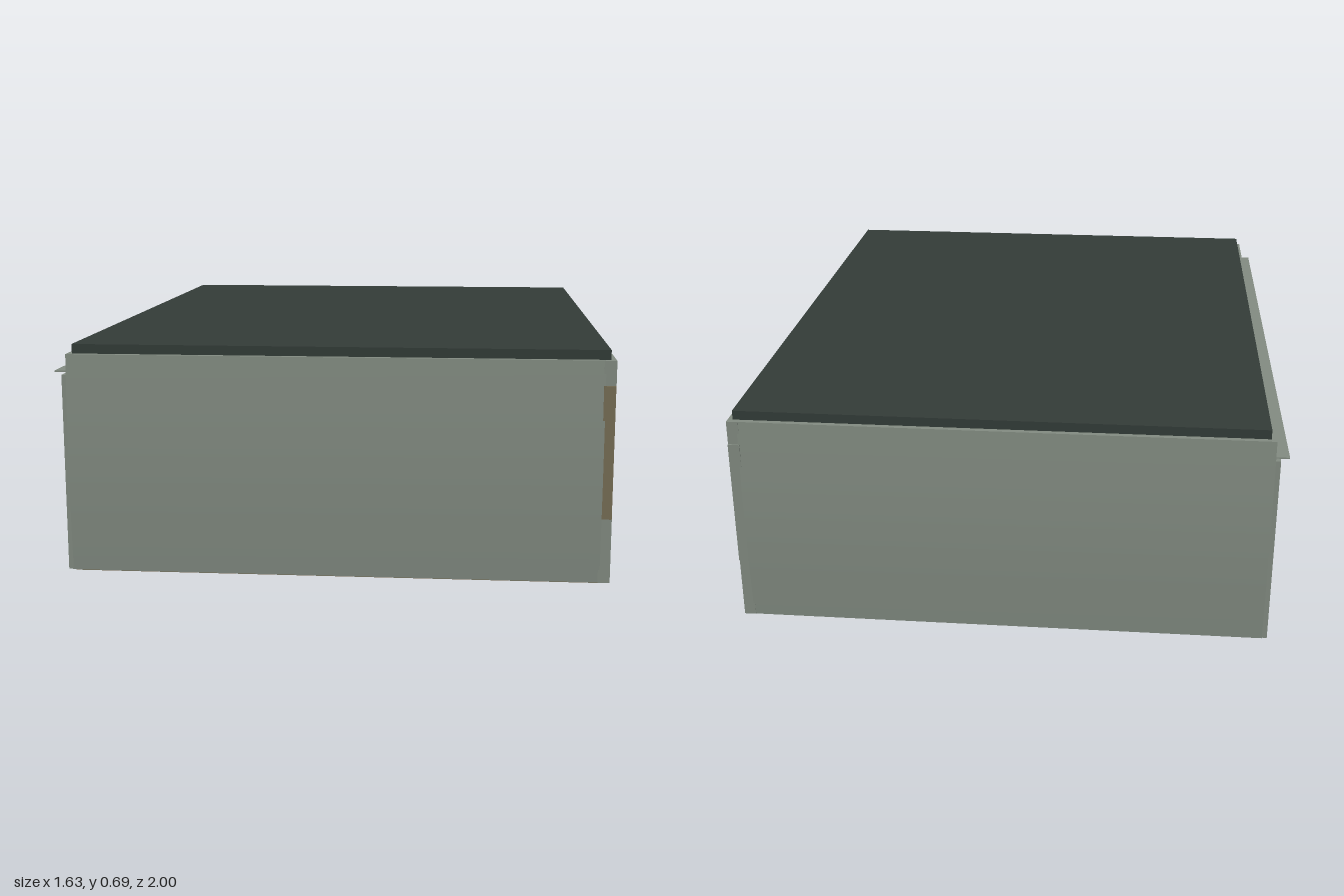
import * as THREE from 'three';

export function createModel() {
  const model = new THREE.Group();
  const mat = (name, color) => {
    const m = new THREE.MeshStandardMaterial({ color, side: THREE.DoubleSide });
    m.name = name;
    return m;
  };
  const wallGrey = mat('wall grey', 0x838c82);
  const roofDark = mat('roof dark green', 0x333c38);
  const tan = mat('panel tan', 0x776e55);
  const pale = mat('door pale grey', 0xc4c4c4);

  const add = (name, geometry, material) => {
    const mesh = new THREE.Mesh(geometry, material);
    mesh.name = name;
    model.add(mesh);
    return mesh;
  };
  // Box given by its minimum and maximum corners
  const box = (name, material, [x0, y0, z0], [x1, y1, z1]) => {
    const g = new THREE.BoxGeometry(x1 - x0, y1 - y0, z1 - z0);
    g.translate((x0 + x1) / 2, (y0 + y1) / 2, (z0 + z1) / 2);
    return add(name, g, material);
  };

  // Main hall: front and back walls bow out slightly at mid height
  const base = 0.008, top = 0.662;
  const hall = new THREE.BoxGeometry(1.565, top - base, 1.976, 1, 10, 1);
  hall.translate(0.0025, (base + top) / 2, 0);
  const p = hall.attributes.position;
  for (let i = 0; i < p.count; i++) {
    const t = (p.getY(i) - base) / (top - base);
    p.setZ(i, Math.sign(p.getZ(i)) * (0.988 + 0.011 * Math.sin(Math.PI * t)));
  }
  hall.computeVertexNormals();
  add('hallWalls', hall, wallGrey);

  // Left-hand end wall with a doorway, drawn in the z-y plane
  const outline = new THREE.Shape();
  outline.moveTo(-0.985, base).lineTo(0.985, base).lineTo(0.985, 0.6).lineTo(-0.985, 0.6);
  const doorway = new THREE.Path();
  doorway.moveTo(0.56, 0.02).lineTo(0.56, 0.43).lineTo(0.74, 0.43).lineTo(0.74, 0.02);
  outline.holes.push(doorway);
  const endWall = new THREE.ExtrudeGeometry(outline, { depth: 0.016, bevelEnabled: false });
  endWall.rotateY(-Math.PI / 2);
  endWall.translate(-0.779, 0, 0);
  add('doorWall', endWall, wallGrey);
  box('door', pale, [-0.786, 0.02, 0.56], [-0.779, 0.43, 0.74]);
  box('doorJamb', wallGrey, [-0.8, 0.02, 0.738], [-0.785, 0.435, 0.752]);

  // Thin ledge under the eaves above the door wall
  box('eavesLedge', wallGrey, [-0.82, 0.606, -0.98], [-0.77, 0.61, 0.97]);

  // Opposite side: plinth, fascia and end jamb framing a slightly skewed panel
  box('sidePlinth', wallGrey, [0.78, base, -0.99], [0.815, 0.2, 0.99]);
  box('sideFascia', wallGrey, [0.78, 0.59, -0.99], [0.815, top, 0.99]);
  box('sideJamb', wallGrey, [0.78, 0.2, -0.995], [0.815, 0.59, -0.982]);
  const plan = new THREE.Shape();
  plan.moveTo(0.78, -0.996).lineTo(0.814, -0.996).lineTo(0.795, 0.982).lineTo(0.78, 0.982);
  const panel = new THREE.ExtrudeGeometry(plan, { depth: 0.39, bevelEnabled: false });
  panel.rotateX(-Math.PI / 2);
  panel.translate(0, 0.2, 0);
  add('sidePanel', panel, tan);

  // Roof slab inset from the wall tops
  box('roof', roofDark, [-0.765, top - 0.005, -0.972], [0.8, 0.69, 0.972]);

  // Floor and its small studs
  box('floor', tan, [-0.775, 0.004, -0.98], [0.805, 0.012, 0.98]);
  const studs = new THREE.Group();
  studs.name = 'floorStuds';
  model.add(studs);
  const studGeometry = new THREE.BoxGeometry(0.012, 0.006, 0.012);
  for (const x of [-0.53, -0.18, 0.23, 0.55]) {
    for (let k = 0; k < 8; k++) {
      const stud = new THREE.Mesh(studGeometry, tan);
      stud.name = 'floorStud';
      stud.position.set(x + (k % 2) * 0.06, 0.003, -0.7 + k * 0.2);
      studs.add(stud);
    }
  }
  return model;
}
